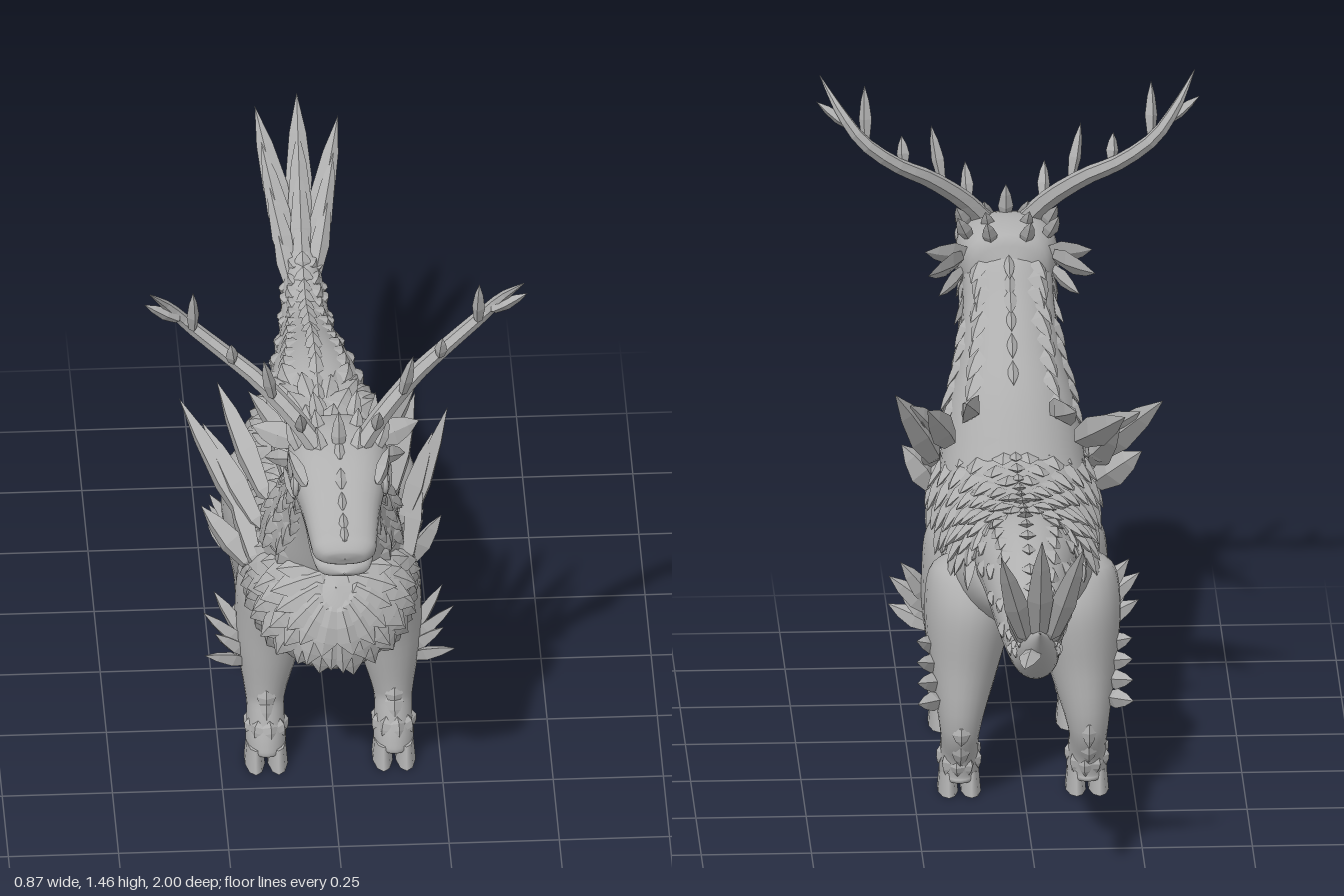
import * as THREE from 'three';
import { mergeGeometries } from 'three/addons/utils/BufferGeometryUtils.js';

const V = (x, y, z) => new THREE.Vector3(x, y, z);
const gray = new THREE.MeshStandardMaterial({ color: 0xb0b0b0 });
gray.name = 'stone gray';

let seed = 7;
const rnd = () => (seed = (seed * 16807) % 2147483647) / 2147483647;

// Tube through sections [x, y, z, rx, ry]; sq < 1 makes it boxier
function makeLoft(sections, ref = V(1, 0, 0), sq = 1) {
  const path = new THREE.CatmullRomCurve3(sections.map(s => V(s[0], s[1], s[2])));
  const radii = new THREE.CatmullRomCurve3(sections.map((s, i) => V(s[3], s[4], i * 0.1)));
  const pw = v => Math.sign(v) * Math.abs(v) ** sq;
  function at(t, a) {
    const r = radii.getPoint(t), T = path.getTangent(t);
    const U = ref.clone().addScaledVector(T, -ref.dot(T)).normalize(), W = T.clone().cross(U);
    return path.getPoint(t).addScaledVector(U, Math.max(r.x, 0.001) * pw(Math.cos(a)))
      .addScaledVector(W, Math.max(r.y, 0.001) * pw(Math.sin(a)));
  }
  function normal(t, a) {
    const du = at(t, a + 0.02).sub(at(t, a - 0.02)), dt = at(t + 0.01, a).sub(at(t - 0.01, a));
    return du.cross(dt).normalize();
  }
  function geometry(rows, cols, flat = false) {
    const pos = [], idx = [];
    for (let i = 0; i <= rows; i++)
      for (let j = 0; j < cols; j++) pos.push(...at(i / rows, (j / cols) * Math.PI * 2).toArray());
    for (let i = 0; i < rows; i++)
      for (let j = 0; j < cols; j++) {
        const a = i * cols + j, b = i * cols + (j + 1) % cols;
        idx.push(a, b, a + cols, b, b + cols, a + cols);
      }
    let g = new THREE.BufferGeometry();
    g.setAttribute('position', new THREE.Float32BufferAttribute(pos, 3));
    g.setIndex(idx);
    if (flat) g = g.toNonIndexed();
    g.computeVertexNormals();
    return g;
  }
  return { at, normal, geometry };
}

// Faceted leaf-shaped crystal from base to tip, with its thin axis along normal
const leafBase = new THREE.LatheGeometry(
  [[0, 0], [0.65, 0.08], [1, 0.4], [0.65, 0.72], [0, 1]].map(p => new THREE.Vector2(...p)), 4).toNonIndexed();
leafBase.deleteAttribute('uv');
function leaf(base, tip, width, thick, normal) {
  const y = tip.clone().sub(base), len = y.length();
  y.normalize();
  const x = y.clone().cross(normal).normalize(), z = x.clone().cross(y);
  const g = leafBase.clone().scale(width / 2, len, thick / 2);
  g.applyMatrix4(new THREE.Matrix4().makeBasis(x, y, z).setPosition(base));
  g.computeVertexNormals();
  return g;
}

// Overlapping scale lying on a loft, pointing along flow
function scaleOn(loft, t, a, len, width, flow, lift = 0.22) {
  const n = loft.normal(t, a), l = len * (0.85 + 0.35 * rnd());
  const d = flow.clone().addScaledVector(n, -flow.dot(n)).normalize().addScaledVector(n, lift).normalize();
  const base = loft.at(t, a).addScaledVector(n, -0.004).addScaledVector(d, -l * 0.4);
  return leaf(base, base.clone().addScaledVector(d, l), width * (0.85 + 0.3 * rnd()), 0.026, n);
}

export function createModel() {
  const model = new THREE.Group();
  const add = (name, g) => {
    const m = new THREE.Mesh(Array.isArray(g) ? mergeGeometries(g) : g, gray);
    m.name = name;
    model.add(m);
  };
  const sides = [1, -1], up = Math.PI / 2, mirror = a => [a, Math.PI - a];
  const back = V(0, 0, -1), down = V(0, -1, 0);
  // Sections [y, z, rx, ry] on the centre line
  const spine = (rows, sq) => makeLoft(rows.map(r => [0, ...r]), V(1, 0, 0), sq);

  // Torso, neck and tail
  const torso = spine([[.59, -.23, .03, .03], [.575, -.2, .12, .11], [.54, -.1, .16, .14],
    [.505, .08, .165, .155], [.5, .25, .18, .165], [.51, .4, .19, .19], [.535, .5, .175, .185],
    [.58, .575, .135, .15], [.61, .615, .07, .085], [.62, .625, 0, 0]]);
  const neck = spine([[.58, .4, .17, .16], [.71, .47, .15, .145], [.82, .54, .12, .12],
    [.91, .605, .105, .1], [.98, .65, .1, .085], [1.02, .68, .07, .06]]);
  const tail = spine([[.66, -.9, 0, 0], [.595, -.8, .035, .04], [.54, -.7, .05, .055], [.52, -.6, .06, .062],
    [.54, -.45, .08, .082], [.575, -.3, .1, .1], [.59, -.19, .115, .1], [.585, -.1, .1, .09]]);
  add('torso', torso.geometry(40, 32));
  add('neck', neck.geometry(24, 28));
  add('tail', tail.geometry(36, 24));

  // Body scales, reaching lower toward the chest
  const scales = [];
  for (let i = 0; i < 16; i++) {
    const t = .13 + i * .05, big = t > .7 ? 1.2 : 1;
    const low = t < .45 ? .1 : t < .62 ? -.25 : t < .74 ? -.7 : -1.45;
    const n = Math.round((up - low) / (t > .8 ? .36 : .29));
    for (let j = 0; j < n; j++)
      for (const b of mirror(low + (up - low) * (j + (i % 2) * .5) / n + (rnd() - .5) * .06))
        scales.push(scaleOn(torso, t, b, .095 * big, .062 * big, V(0, -1, -.8)));
  }
  // Neck scales along the sides, throat and nape left bare
  for (let i = 0; i < 9; i++)
    for (const a of i < 5 ? [-.6, -.2, .25, .85] : [-.6, -.2, .85])
      for (const b of mirror(a + (rnd() - .5) * .15))
        scales.push(scaleOn(neck, .2 + i * .075, b, .085, .05, V(0, -1, -.35), .28));
  add('bodyScales', scales);

  // Tail scales and spine ridge
  const ridge = [];
  for (let i = 0; i < 12; i++) {
    const t = .2 + i * .062, s = .5 + t * .6;
    for (const b of [...mirror(.95), ...mirror(i % 2 ? .15 : .45)])
      ridge.push(scaleOn(tail, t, b, .07 * s, .05 * s, V(0, -.2, -1), .2));
    ridge.push(scaleOn(tail, t, up, .085 * s, .04, back, .5));
  }
  for (let i = 0; i < 9; i++) ridge.push(scaleOn(torso, .16 + i * .045, up, .085, .04, back, .35));
  for (let i = 0; i < 6; i++) ridge.push(scaleOn(neck, .3 + i * .1, up, .08, .03, V(0, -1, -.6), .25));
  add('spineScales', ridge);

  // Tail plume: a rising fan, with one leaf trailing low
  const plume = [leaf(V(.01, .59, -.8), V(.04, .61, -1), .05, .026, V(0, 1, 0))];
  for (let i = 0; i < 11; i++) {
    const f = i / 10, s = (i % 3) - 1;
    plume.push(leaf(V(s * .025, .55 + .07 * f, -.7 - .13 * f), V(s * (.06 + .04 * f), .68 + .23 * f, -.83 - .15 * f),
      .04 + .02 * f, .026, V(s * .3, 1, .6)));
  }
  add('tailPlume', plume);

  // Head: skull with muzzle, and lower jaw
  const head = spine([[1, .575, 0, 0], [1, .61, .09, .075], [1.01, .69, .115, .088], [1.003, .77, .108, .08],
    [.975, .85, .088, .062], [.955, .93, .077, .047], [.948, .975, .07, .038], [.943, .997, .045, .02], [.942, 1, 0, 0]], .8);
  const jaw = spine([[.925, .62, .04, .03], [.912, .7, .085, .036], [.897, .8, .078, .027],
    [.888, .9, .07, .023], [.884, .95, .055, .02], [.885, .972, 0, 0]], .8);
  add('head', head.geometry(32, 28));
  add('lowerJaw', jaw.geometry(20, 20));
  const face = [leaf(V(0, 1.07, .75), V(0, 1.165, .73), .035, .03, V(0, 0, 1))];
  for (let i = 0; i < 5; i++) face.push(scaleOn(head, .36 + i * .09, up, .05, .03, back, .12));
  for (const s of sides) {
    // Brow and cheek plates, long ears and tufts
    face.push(leaf(V(s * .08, 1.05, .86), V(s * .115, 1.075, .74), .035, .03, V(s, 1, 0)),
      leaf(V(s * .1, .96, .77), V(s * .122, .99, .68), .04, .024, V(s, 0, 0)),
      leaf(V(s * .1, 1.02, .65), V(s * .19, 1.045, .45), .06, .024, V(s, .3, 0)),
      leaf(V(s * .09, 1.03, .64), V(s * .19, 1.05, .6), .065, .02, V(0, .4, 1)),
      leaf(V(s * .1, .99, .65), V(s * .16, .95, .58), .045, .02, V(s * .3, .3, 1)),
      leaf(V(s * .08, .95, .64), V(s * .125, .88, .58), .045, .022, V(s, 0, .5)));
    // Crown spikes
    for (let i = 0; i < 5; i++) {
      const x = i % 2 ? .115 : .05, z = .6 + i * .037;
      face.push(leaf(V(s * x * .75, 1.06, z + .02), V(s * x, 1.125, z - .02), .035, .022, V(0, .3, 1)));
    }
  }
  add('faceScales', face);
  add('eyes', sides.map(s => new THREE.SphereGeometry(.024, 16, 12).scale(.6, 1, 1).translate(s * .099, 1.02, .8)));
  add('eyelids', sides.map(s => new THREE.TorusGeometry(.024, .006, 8, 16).rotateY(up).translate(s * .102, 1.02, .8)));

  // Antler beam [x, y, z, r] and tines [t along beam, tip]
  const beam = [[.05, 1.08, .74, .024], [.1, 1.14, .705, .022], [.18, 1.21, .65, .02], [.25, 1.255, .61, .018],
    [.33, 1.32, .59, .016], [.38, 1.385, .61, .012], [.425, 1.455, .665, .001]];
  const tines = [[.25, .17, 1.31, .73], [.65, .325, 1.44, .64], [.74, .435, 1.405, .63], [.1, .09, 1.2, .79], [.45, .24, 1.31, .66]];
  // Shoulder crystals, base then tip
  const crystals = [[.17, .62, .4, .33, .84, .16], [.16, .65, .42, .28, .8, .2], [.17, .58, .47, .235, .75, .23],
    [.14, .68, .35, .24, .83, .08], [.09, .74, .38, .13, .84, .09], [.18, .55, .42, .29, .66, .33]];
  // Leg sections [y, z, rx, rz] from hip to sole
  const frontLeg = [[.53, .33, .05, .07], [.47, .32, .085, .12], [.38, .31, .085, .12], [.28, .32, .073, .093],
    [.16, .34, .046, .062], [.11, .36, .043, .055], [.06, .37, .046, .062], [.035, .372, .04, .06], [.03, .372, 0, 0]];
  const hindLeg = [[.56, -.03, .03, .04], [.51, -.035, .095, .105], [.42, -.055, .1, .132], [.31, -.085, .08, .108],
    [.17, -.128, .047, .062], [.11, -.1, .043, .055], [.06, -.08, .046, .062], [.035, -.077, .04, .06], [.03, -.077, 0, 0]];

  for (const s of sides) {
    const side = s > 0 ? 'left' : 'right', reach = s > 0 ? .66 : 1;
    const antler = makeLoft(beam.map(([x, y, z, r]) => [s * x, y, z, r, r]), V(0, 0, 1));
    add(side + 'Antler', [antler.geometry(14, 6, true), ...tines.map(([t, x, y, z]) =>
      leaf(antler.at(t, 0), V(s * x, y, z), .03, .03, V(s, 0, .3)))]);
    add(side + 'ShoulderCrystals', crystals.map(([x, y, z, x2, y2, z2]) =>
      leaf(V(s * x, y, z), V(s * (x + (x2 - x) * reach), y2, z2 + (1 - reach) * .2), .075, .045, V(s, .5, .4))));

    for (const [word, rows, hoofZ] of [['Front', frontLeg, .375], ['Hind', hindLeg, -.073]]) {
      const name = side + word, isFront = rows === frontLeg;
      const leg = makeLoft(rows.map(r => [s * (.145 - .1 * Math.max(0, r[0] - .2)), ...r]));
      add(name + 'Leg', leg.geometry(36, 24));
      // Cloven hoof
      add(name + 'Hoof', [-1, 1].map(h => new THREE.CylinderGeometry(.019, .024, .055, 10)
        .scale(1, 1, 3).translate(s * .145 + h * .026, .0275, hoofZ)));
      // Shin scales and ankle cuff
      const plates = [.5, .56].flatMap(t => [up, -up].map(a => scaleOn(leg, t, a, .055, .038, down)));
      for (let i = 0; i < 9; i++) plates.push(scaleOn(leg, .66, i * Math.PI * 2 / 9, .045, .036, down, .25));
      add(name + 'AnklePlates', plates);
      // Crystals fanning from the outer knee, swept back on the hind legs
      add(name + 'Crystals', [0, 1, 2, 3].map(i => isFront
        ? leaf(V(s * .18, .24 + i * .018, .34), V(s * (.285 - (i % 2) * .025), .285 + i * .042, .38 - i * .025), .05, .034, V(s * .4, -.4, 1))
        : leaf(V(s * .185, .23 + i * .035, -.12 + i * .02), V(s * .245, .25 + i * .043, -.21 + i * .022), .045, .034, V(s * .4, -.4, 1))));
    }
  }
  return model;
}
